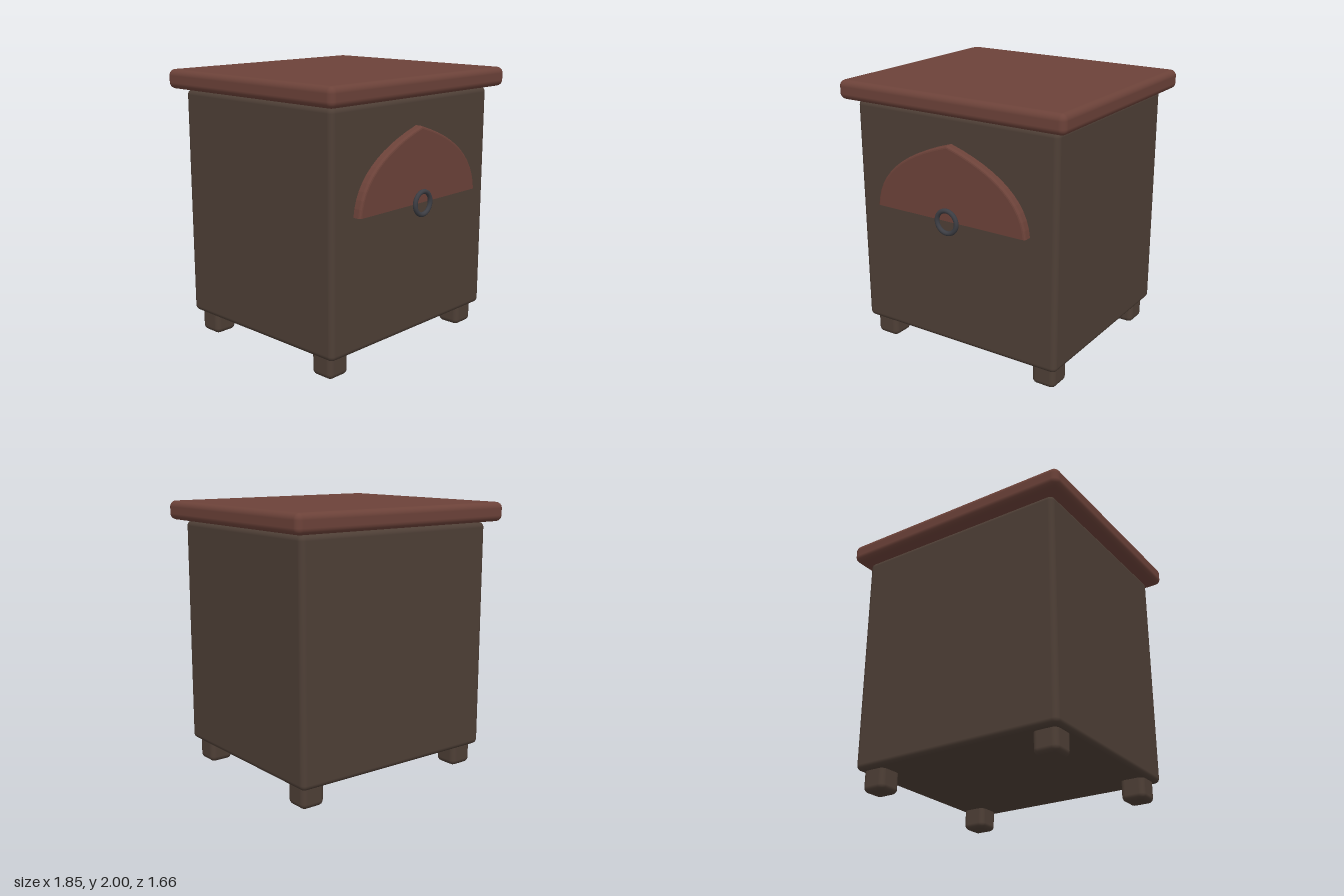
import * as THREE from 'three';
import { RoundedBoxGeometry } from 'three/addons/geometries/RoundedBoxGeometry.js';

const darkWood = new THREE.MeshStandardMaterial({ color: 0x4e3f36 });
const redWood = new THREE.MeshStandardMaterial({ color: 0x6c4239 });
const iron = new THREE.MeshStandardMaterial({ color: 0x3c3d43 });

export function createModel() {
  const model = new THREE.Group();
  model.name = 'nightstand';

  const add = (name, geometry, material, x, y, z) => {
    const mesh = new THREE.Mesh(geometry, material);
    mesh.name = name;
    mesh.position.set(x, y, z);
    model.add(mesh);
  };

  // Cabinet and overhanging top
  add('body', new RoundedBoxGeometry(1.665, 1.7, 1.48, 4, 0.04), darkWood, 0, 1.005, 0);
  add('top', new RoundedBoxGeometry(1.85, 0.14, 1.664, 4, 0.045), redWood, 0, 1.93, 0);

  // Four feet, sunk slightly into the body
  for (const [side, x] of [['Left', 0.704], ['Right', -0.704]]) {
    for (const [end, z] of [['front', 0.598], ['back', -0.598]]) {
      add(`${end}${side}Foot`, new RoundedBoxGeometry(0.185, 0.22, 0.185, 4, 0.04), darkWood, x, 0.11, z);
    }
  }

  // Pointed-arch drawer panel, bevelled along the curve and flat underneath
  const bevel = 0.018;
  const arch = new THREE.Shape();
  arch.moveTo(-0.609, 0);
  arch.lineTo(0.609, 0);
  arch.quadraticCurveTo(0.585, 0.345, 0, 0.52);
  arch.quadraticCurveTo(-0.585, 0.345, -0.609, 0);
  const panel = new THREE.ExtrudeGeometry(arch, {
    depth: 0.06 - bevel, bevelThickness: bevel, bevelSize: bevel, bevelSegments: 3, curveSegments: 12,
  });
  const position = panel.attributes.position;
  for (let i = 0; i < position.count; i++) position.setY(i, Math.max(0, position.getY(i)));
  panel.computeVertexNormals();
  add('drawerPanel', panel, redWood, 0, 1.117, 0.74);

  // Ring pull
  add('ringPull', new THREE.TorusGeometry(0.082, 0.017, 12, 40), iron, 0, 1.117, 0.815);

  return model;
}
